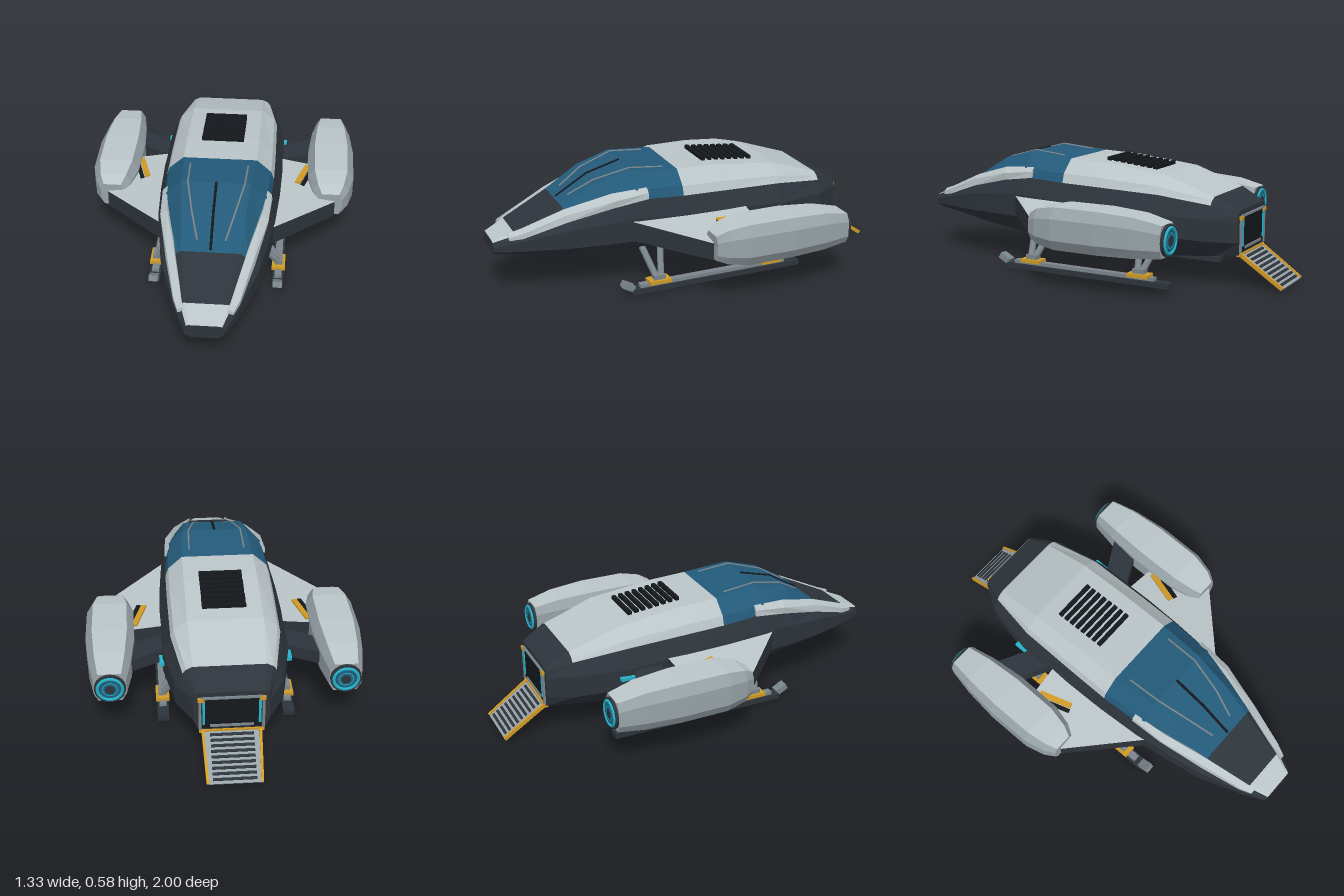
import * as THREE from 'three';

const mat = (name, color) => Object.assign(new THREE.MeshStandardMaterial({ color }), { name });

export function createModel() {
  const light = mat('light panel', 0xbbc5c8), grey = mat('pod grey', 0x98a3a8), dark = mat('dark hull', 0x2d343b);
  const black = mat('black', 0x14181c), glass = mat('blue glass', 0x235a7a), cyan = mat('cyan glow', 0x25b3c9);
  const blue = mat('engine blue', 0x1c607f), yellow = mat('yellow trim', 0xd09a26), metal = mat('metal', 0x7a858b);

  const root = new THREE.Group();
  root.name = 'shuttle';
  const add = (name, geo, material, parent = root) => {
    const m = new THREE.Mesh(geo, material);
    m.name = name;
    parent.add(m);
    return m;
  };
  const box = (name, material, size, pos, parent = root) => {
    const m = add(name, new THREE.BoxGeometry(...size), material, parent);
    m.position.set(...pos);
    return m;
  };
  // Round bar between two points
  const bar = (name, material, a, b, r, sides = 8) => {
    const A = new THREE.Vector3(...a), B = new THREE.Vector3(...b);
    const m = add(name, new THREE.CylinderGeometry(r, r, A.distanceTo(B), sides), material);
    m.position.copy(A).add(B).multiplyScalar(0.5);
    m.quaternion.setFromUnitVectors(new THREE.Vector3(0, 1, 0), B.sub(A).normalize());
    return m;
  };
  // Flat-faced skin over closed rings; rings run counter-clockwise seen from the first end
  const loft = (name, rings, mats, pick, side = 1) => {
    if (side < 0) rings = rings.map(r => r.map(([x, y, z]) => [-x, y, z]));
    const buckets = mats.map(() => []);
    const tri = (m, a, b, c) => buckets[m].push(...a, ...(side < 0 ? [...c, ...b] : [...b, ...c]));
    const n = rings[0].length, last = rings.length - 1;
    for (let i = 0; i < last; i++) for (let j = 0; j < n; j++) {
      const k = (j + 1) % n, m = pick(i, j);
      tri(m, rings[i][j], rings[i + 1][j], rings[i + 1][k]);
      tri(m, rings[i][j], rings[i + 1][k], rings[i][k]);
    }
    for (let j = 1; j < n - 1; j++) {
      tri(0, rings[0][0], rings[0][j], rings[0][j + 1]);
      tri(0, rings[last][0], rings[last][j + 1], rings[last][j]);
    }
    const geo = new THREE.BufferGeometry();
    geo.setAttribute('position', new THREE.Float32BufferAttribute(buckets.flat(), 3));
    let start = 0;
    buckets.forEach((b, m) => { geo.addGroup(start, b.length / 3, m); start += b.length / 3; });
    geo.computeVertexNormals();
    return add(name, geo, mats);
  };

  // Hull stations: z, then half section x,y from keel edge up to roof edge
  const hull = [
    [1.0, .06, .215, .09, .235, .09, .26, .085, .27, .08, .28, .07, .285],
    [.9, .08, .205, .14, .24, .14, .285, .125, .305, .115, .315, .10, .325],
    [.67, .12, .175, .225, .25, .225, .34, .19, .38, .17, .405, .135, .43],
    [.5, .14, .16, .255, .252, .255, .355, .225, .425, .205, .46, .15, .53],
    [.33, .16, .145, .28, .255, .282, .37, .253, .455, .24, .50, .165, .577],
    [.1, .175, .135, .295, .25, .297, .36, .265, .445, .25, .49, .18, .555],
    [-.1, .18, .13, .30, .245, .302, .355, .265, .44, .25, .485, .18, .548],
    [-.42, .18, .122, .30, .24, .30, .34, .26, .43, .245, .465, .18, .514],
    [-.67, .16, .145, .25, .23, .25, .335, .215, .395, .20, .415, .17, .43],
    [-.79, .15, .16, .175, .22, .175, .32, .17, .35, .165, .36, .15, .37],
  ].map(([z, ...p]) => {
    const half = [0, 2, 4, 6, 8, 10].map(i => [p[i], p[i + 1], z]);
    return [...half, ...half.map(([x, y]) => [-x, y, z]).reverse()];
  });
  loft('hull', hull, [dark, light, glass], (i, j) => {
    const d = Math.abs(j - 5);
    if (d > 2 || i === 1 || i === 8) return 0;
    if (i === 0) return d < 2 ? 1 : 0;
    return i < 5 ? 2 : 1;
  });

  // Canopy centre seam
  const ridge = [[0, .435, .66], [0, .53, .5], [0, .577, .33]];
  for (let i = 0; i < 2; i++) bar('canopySeam', black, ridge[i], ridge[i + 1], .007, 6);

  // Roof vent slats
  for (let i = 0; i < 8; i++) {
    const z = -.075 - i * .036;
    box('roofVentSlat', black, [.21, .024, .02], [0, .552 + (z + .1) * .106, z]);
  }

  for (const s of [1, -1]) {
    const seam = [[.14, .5615, .16], [.135, .577, .33], [.1, .53, .5], [.065, .4595, .62]].map(([x, y, z]) => [s * x, y, z]);
    for (let i = 0; i < 3; i++) bar('canopyLine', metal, seam[i], seam[i + 1], .005, 6);

    // Raised cheek strip beside the canopy
    loft('cheekStrip', [
      [.93, .125, .295, .125, .31, .10, .325, .10, .30],
      [.87, .15, .305, .15, .33, .115, .345, .11, .31],
      [.67, .205, .375, .20, .41, .165, .43, .15, .38],
      [.45, .25, .43, .255, .465, .222, .495, .19, .44],
      [.28, .264, .455, .262, .485, .24, .507, .22, .46],
    ].map(([z, ...p]) => [0, 2, 4, 6].map(i => [p[i], p[i + 1], z])), [light], () => 0, s);

    // Wing with light top, and the dark brace behind it
    loft('wing', [
      [[.57, .23, -.2], [.57, .315, -.2], [.57, .315, .085], [.57, .23, .085]],
      [[.26, .262, -.22], [.26, .36, -.22], [.26, .36, .385], [.26, .262, .385]],
    ], [dark, light], (i, j) => (j === 1 ? 1 : 0), s);
    loft('wingBrace', [
      [[.48, .27, -.48], [.48, .33, -.48], [.48, .33, -.34], [.48, .27, -.34]],
      [[.26, .26, -.36], [.26, .33, -.36], [.26, .33, -.23], [.26, .26, -.23]],
    ], [dark], () => 0, s);
    const stripe = box('wingStripe', yellow, [.028, .016, .17], [s * .405, .341, -.1]);
    const groove = box('wingGroove', black, [.02, .012, .15], [s * .428, .339, -.08]);
    stripe.rotation.set(0, -s * .3, -s * .14, 'ZYX');
    groove.rotation.copy(stripe.rotation);

    // Engine pod
    const cx = s * .548;
    const pod = [
      [.08, .06, .06, .295], [.03, .09, .083, .3], [-.07, .115, .1, .302],
      [-.3, .117, .1, .302], [-.48, .1, .093, .298], [-.61, .076, .074, .29],
    ].map(([z, w, h, cy]) => [[1, -.5], [1, .5], [.72, 1], [-.72, 1], [-1, .5], [-1, -.5], [-.72, -1], [.72, -1]]
      .map(([u, v]) => [cx + u * w, cy + v * h, z]));
    loft('enginePod', pod, [grey, light], (i, j) => (j === 2 ? 1 : 0));
    const disc = (name, m, r, len, z) => {
      const c = add(name, new THREE.CylinderGeometry(r, r, len, 20), m);
      c.rotation.x = Math.PI / 2;
      c.position.set(cx, .29, z);
    };
    disc('engineNozzle', dark, .074, .03, -.609);
    disc('engineGlow', blue, .048, .006, -.625);
    disc('engineHub', dark, .022, .01, -.626);
    for (const [r, t] of [[.058, .008], [.034, .004]])
      add('engineRing', new THREE.TorusGeometry(r, t, 6, 24), cyan).position.set(cx, .29, -.625);

    // Side marker light
    box('sideLight', cyan, [.03, .016, .07], [s * .3, .3, -.43]);

    // Landing skid
    const x = s * .305;
    box('skid', dark, [.055, .026, .9], [x, .013, -.06]);
    box('skidRail', metal, [.035, .018, .78], [x, .034, -.04]);
    box('skidTip', metal, [.045, .03, .06], [x, .042, .41]).rotation.x = -.5;
    for (const z of [.25, -.35]) {
      box('skidFoot', yellow, [.066, .018, .11], [x, .046, z]);
      box('skidAnkle', metal, [.04, .03, .06], [x, .062, z]);
      for (const d of [-1, 1])
        bar('skidStrut', metal, [x, .06, z + d * .012], [s * .2, .2, z + d * .05], .017);
    }

    // Rear door lights and trim
    box('doorLight', cyan, [.012, .125, .012], [s * .128, .262, -.795]);
    box('doorPost', metal, [.012, .17, .014], [s * .145, .255, -.793]);
    box('doorCorner', yellow, [.03, .018, .018], [s * .14, .335, -.794]);
  }

  // Rear door
  box('rearDoor', black, [.27, .16, .012], [0, .255, -.789]);
  box('doorLintel', metal, [.28, .01, .014], [0, .343, -.793]);
  box('doorSill', metal, [.2, .012, .014], [0, .19, -.794]);
  box('rampHinge', yellow, [.3, .014, .02], [0, .158, -.788]);

  // Lowered boarding ramp
  const ramp = new THREE.Group();
  ramp.name = 'ramp';
  ramp.position.set(0, .155, -.79);
  ramp.rotation.x = -.604;
  root.add(ramp);
  box('rampPlate', grey, [.25, .01, .25], [0, 0, -.125], ramp);
  box('rampUnderside', dark, [.245, .006, .245], [0, -.006, -.125], ramp);
  for (let i = 0; i < 9; i++) box('rampTread', dark, [.2, .008, .013], [0, .006, -.022 - i * .026], ramp);
  for (const s of [1, -1])
    box('rampRail', yellow, [.012, .018, .25], [s * .128, .003, -.125], ramp).rotation.y = s * .04;

  return root;
}
